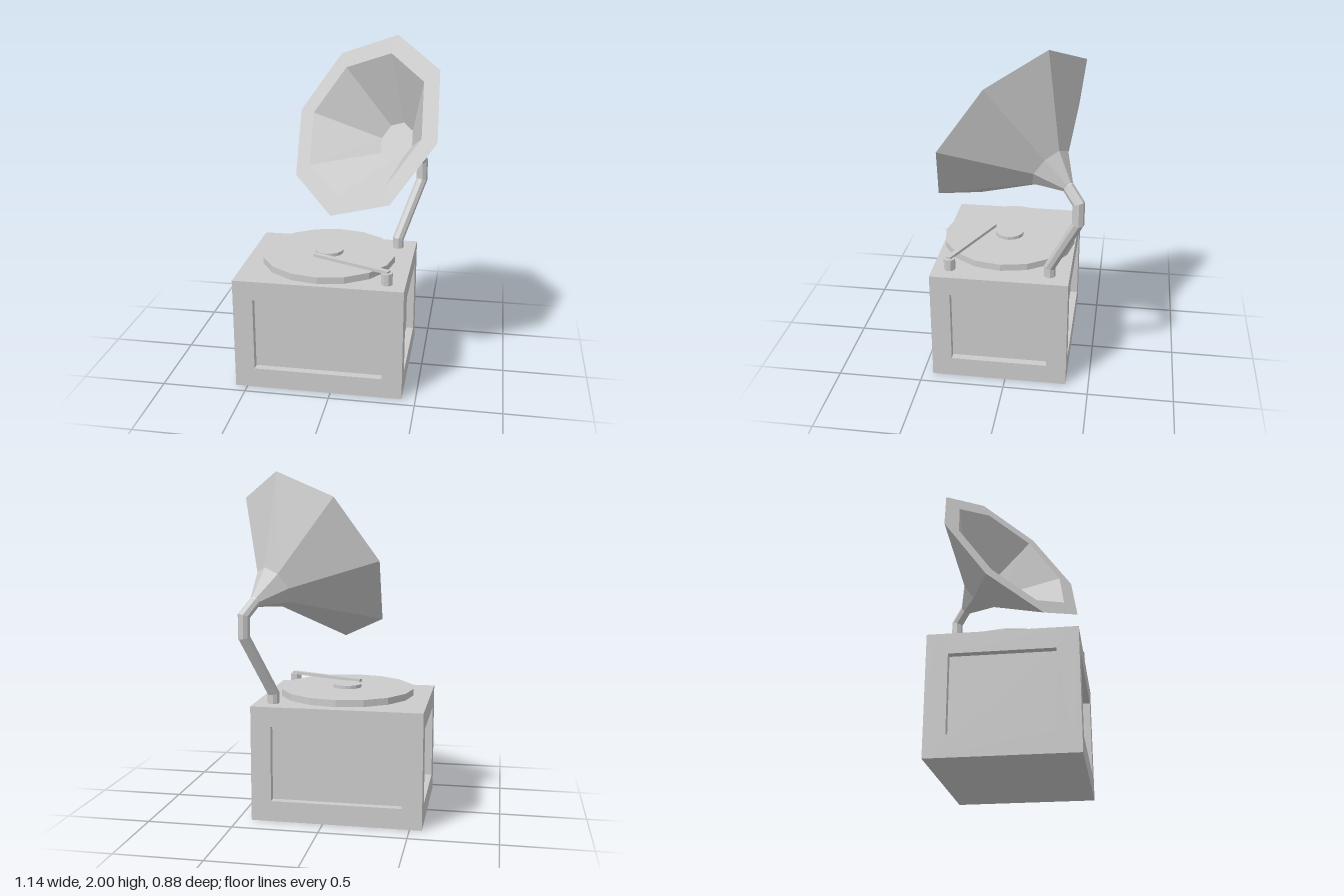
import * as THREE from 'three';

const material = new THREE.MeshStandardMaterial({ color: 0xcccccc, flatShading: true });

function addMesh(parent, name, geometry, x = 0, y = 0, z = 0) {
  const mesh = new THREE.Mesh(geometry, material);
  mesh.name = name;
  mesh.position.set(x, y, z);
  parent.add(mesh);
  return mesh;
}

// Rectangular frame with a window, extruded along +z from z = 0
function frameGeometry(width, height, depth, windowHalf, windowLow, windowHigh) {
  const shape = new THREE.Shape();
  shape.moveTo(-width / 2, 0).lineTo(width / 2, 0).lineTo(width / 2, height).lineTo(-width / 2, height).closePath();
  const hole = new THREE.Path();
  hole.moveTo(-windowHalf, windowLow).lineTo(-windowHalf, windowHigh);
  hole.lineTo(windowHalf, windowHigh).lineTo(windowHalf, windowLow).closePath();
  shape.holes.push(hole);
  return new THREE.ExtrudeGeometry(shape, { depth, bevelEnabled: false });
}

// Pipe with mitred bends through [z, y] points in the plane x = 0
function pipeGeometry(path, radius, sides) {
  const pts = path.map(([z, y]) => new THREE.Vector2(z, y));
  const positions = [], index = [];
  pts.forEach((p, i) => {
    const before = p.clone().sub(pts[Math.max(i - 1, 0)]).normalize();
    const after = pts[Math.min(i + 1, pts.length - 1)].clone().sub(p).normalize();
    const tangent = before.clone().add(after).normalize();
    const miter = 1 / Math.max(tangent.dot(i ? before : after), 0.5);
    for (let k = 0; k < sides; k++) {
      const a = (k / sides) * Math.PI * 2;
      const across = Math.sin(a) * radius * miter;
      positions.push(Math.cos(a) * radius, p.y - tangent.x * across, p.x + tangent.y * across);
    }
  });
  for (let i = 0; i < pts.length - 1; i++) {
    for (let k = 0; k < sides; k++) {
      const a = i * sides + k, b = i * sides + ((k + 1) % sides);
      index.push(a, a + sides, b, b, a + sides, b + sides);
    }
  }
  const geometry = new THREE.BufferGeometry();
  geometry.setAttribute('position', new THREE.Float32BufferAttribute(positions, 3));
  geometry.setIndex(index);
  geometry.computeVertexNormals();
  return geometry;
}

function createCabinet() {
  const cabinet = new THREE.Group();
  cabinet.name = 'cabinet';
  const w = 0.99, h = 0.675, d = 0.805, recess = 0.045;
  addMesh(cabinet, 'cabinetCore', new THREE.BoxGeometry(w - 2 * recess, h, d - 2 * recess), 0, h / 2, 0);
  // Frames around the four sunken panels
  const wide = frameGeometry(w, h, recess, 0.378, 0.12, 0.56);
  const narrow = frameGeometry(d - 2 * recess, h, recess, 0.285, 0.12, 0.56);
  ['front', 'left', 'back', 'right'].forEach((side, i) => {
    const angle = (i * Math.PI) / 2;
    const reach = (i % 2 ? w : d) / 2 - recess;
    const frame = addMesh(cabinet, side + 'Frame', i % 2 ? narrow : wide, Math.sin(angle) * reach, 0, Math.cos(angle) * reach);
    frame.rotation.y = angle;
  });
  cabinet.position.set(-0.075, 0, 0.038);
  return cabinet;
}

function createTurntable() {
  const turntable = new THREE.Group();
  turntable.name = 'turntable';
  addMesh(turntable, 'spindle', new THREE.CylinderGeometry(0.03, 0.03, 0.03, 8), 0, 0.685, 0);
  addMesh(turntable, 'record', new THREE.CylinderGeometry(0.4, 0.4, 0.04, 16), 0, 0.71, 0);
  addMesh(turntable, 'recordLabel', new THREE.CylinderGeometry(0.086, 0.086, 0.02, 16), 0, 0.74, 0);
  turntable.position.set(-0.075, 0, 0.04);
  return turntable;
}

function createToneArm() {
  const arm = new THREE.Group();
  arm.name = 'toneArm';
  addMesh(arm, 'toneArmPost', new THREE.CylinderGeometry(0.034, 0.034, 0.07, 8), 0, 0.71, 0);
  addMesh(arm, 'toneArmBar', new THREE.BoxGeometry(0.505, 0.018, 0.03), -0.24, 0.749, 0);
  arm.position.set(0.312, 0, 0.34);
  arm.rotation.y = -Math.atan2(0.193, 0.452);
  return arm;
}

function createHorn() {
  const horn = new THREE.Group();
  horn.name = 'horn';
  // Bent stem rising from the back corner of the cabinet
  const stem = [[0, 0.67], [0, 0.735], [-0.204, 1.08], [-0.204, 1.2], [-0.122, 1.277]];
  addMesh(horn, 'hornStem', pipeGeometry(stem, 0.034, 8), 0, 0, 0);
  // Eight-sided bell: outer flare, flat lip, inner flare, closed throat
  const profile = [[0.034, -0.49], [0.132, -0.335], [0.56, 0], [0.445, 0], [0.126, -0.31], [0, -0.31]];
  const bell = new THREE.LatheGeometry(profile.map(([r, y]) => new THREE.Vector2(r, y)), 8);
  addMesh(horn, 'hornBell', bell, 0, 1.51, 0.304).rotation.x = Math.atan2(0.877, 0.48);
  horn.position.set(0.312, 0, -0.248);
  horn.rotation.y = -0.656;
  return horn;
}

export function createModel() {
  const model = new THREE.Group();
  model.name = 'hornRecordPlayer';
  model.add(createCabinet(), createTurntable(), createToneArm(), createHorn());
  return model;
}
